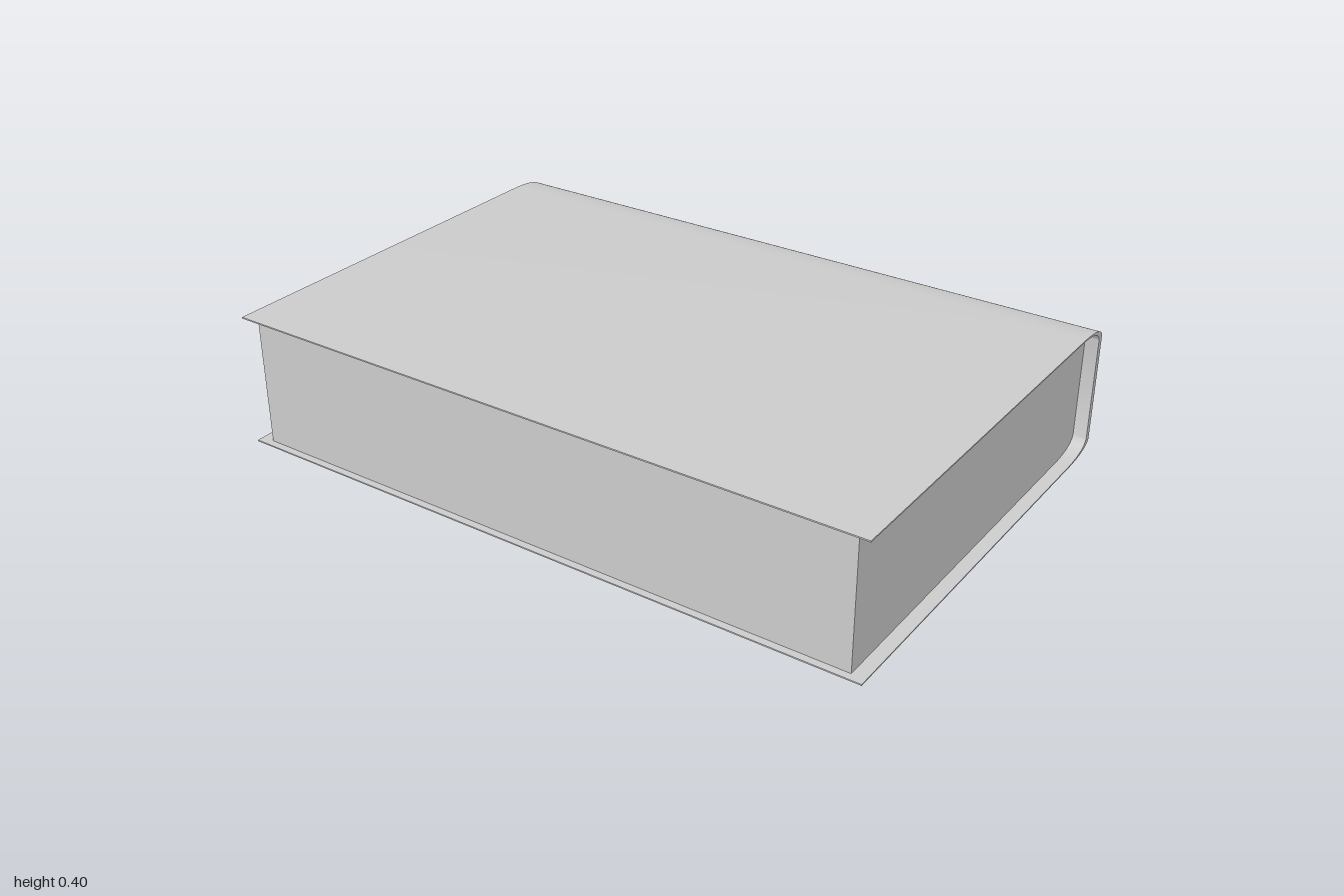
import * as THREE from 'three';
import { toCreasedNormals } from 'three/addons/utils/BufferGeometryUtils.js';

const HEIGHT = 0.4;

// Rounded spine profiles, drawn with the spine towards +X (turned to -z later)
const OUTER = { y: HEIGHT, start: 0.55, ctrl: [0.66, 0.396], end: [0.667, 0.365] };
const INNER = { y: 0.396, start: 0.54, ctrl: [0.64, 0.392], end: [0.648, 0.357] };

// C-shaped outline from the bottom front edge, round the spine, to the top front edge
function outline(p, front) {
  const v = (x, y) => new THREE.Vector2(x, y);
  const top = new THREE.QuadraticBezierCurve(v(p.start, p.y), v(...p.ctrl), v(...p.end)).getPoints(12);
  const bottom = top.map((q) => v(q.x, HEIGHT - q.y)); // runs front to spine
  return [v(front, HEIGHT - p.y), ...bottom, ...top.reverse(), v(front, p.y)];
}

function extrudeAcross(points, width) {
  const geometry = new THREE.ExtrudeGeometry(new THREE.Shape(points), { depth: width, bevelEnabled: false });
  geometry.translate(0, 0, -width / 2);
  geometry.rotateY(Math.PI / 2);
  return toCreasedNormals(geometry, 0.6);
}

export function createModel() {
  const group = new THREE.Group();
  group.name = 'book';
  const grey = new THREE.MeshStandardMaterial({ color: 0xcccccc });
  grey.name = 'light grey';

  // Cover: thin boards that thicken into the rounded spine
  const coverPoints = [...outline(OUTER, -0.667), ...outline(INNER, -0.667).reverse()];
  const cover = new THREE.Mesh(extrudeAcross(coverPoints, 2), grey);
  cover.name = 'cover';

  // Page block, set back from the cover on three sides
  const pages = new THREE.Mesh(extrudeAcross(outline(INNER, -0.645), 1.92), grey);
  pages.name = 'pages';

  group.add(cover, pages);
  return group;
}
